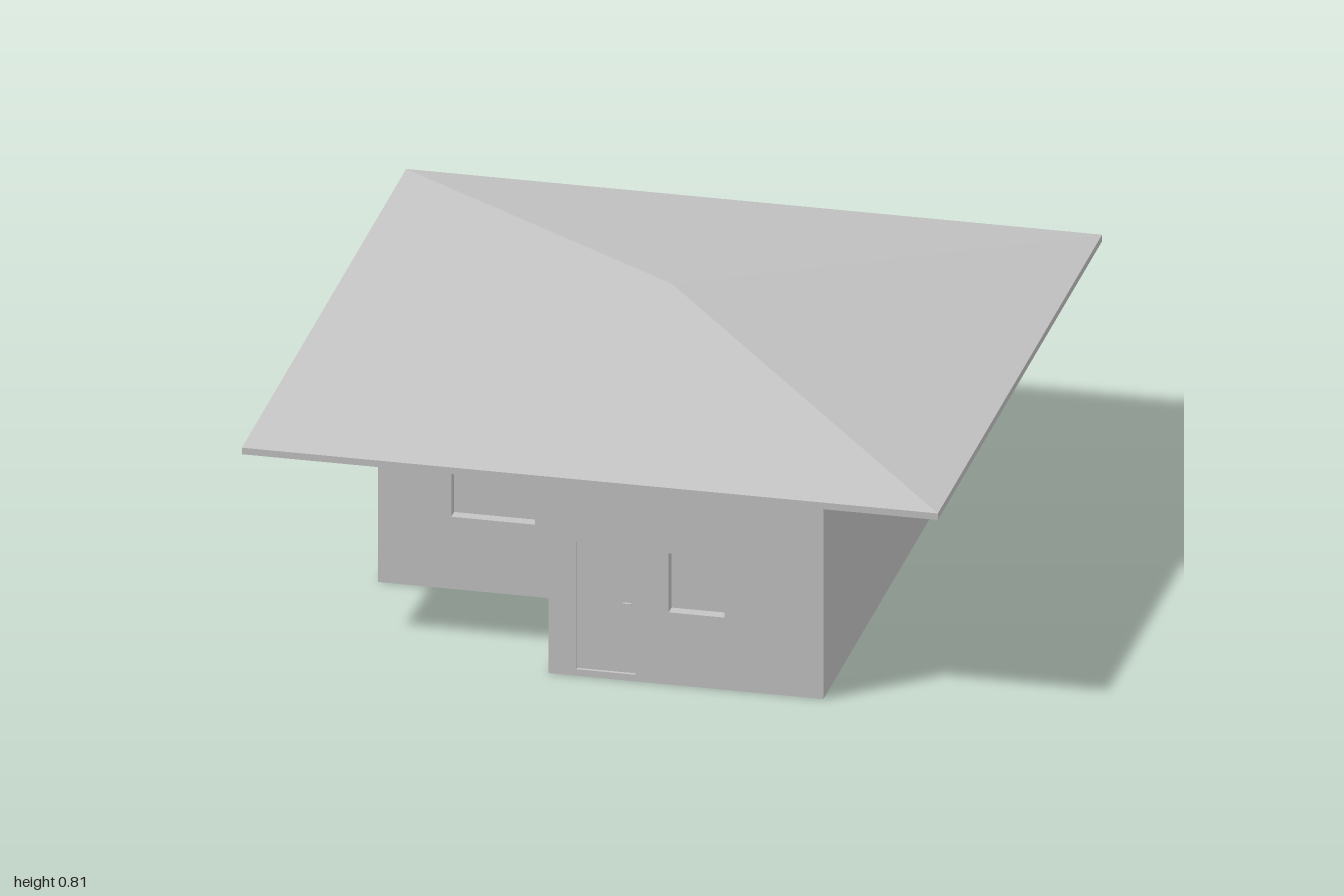
import * as THREE from 'three';

const EAVE = 0.62, RISE = 0.175, SLAB = 0.02, T = 0.035;

// Height of the hollow roof's underside above a point of the plan
const underside = (x, z) => EAVE + RISE * (1 - Math.max(Math.abs(x), Math.abs(z))) + 0.004;

export function createModel() {
  const house = new THREE.Group();
  house.name = 'house';
  const plaster = new THREE.MeshStandardMaterial({ color: 0xc4c4c4 });
  plaster.name = 'plain grey';

  const add = (parent, geometry, name) => {
    const mesh = new THREE.Mesh(geometry, plaster);
    mesh.name = name;
    parent.add(mesh);
    return mesh;
  };

  // Openings are [name, u0, u1, y0, y1, recess], with u measured along the wall
  const openings = {
    0: [['door', 0.08, 0.25, 0.02, 0.41, 0.01], ['window', 0.345, 0.505, 0.22, 0.4, T]],
    4: [['window', 0.15, 0.305, 0.22, 0.4, T]],
    5: [['window', 0.59, 0.745, 0.22, 0.4, T]],
    6: [['window', 0.21, 0.45, 0.22, 0.4, T]],
  };

  // Plan corners (x, z), each wall running left to right as seen from outside
  const plan = [
    [-0.14, 0.91], [0.65, 0.91], [0.65, -0.91], [-0.04, -0.91],
    [-0.04, -0.61], [-0.75, -0.61], [-0.75, 0.4], [-0.14, 0.4],
  ];

  plan.forEach(([ax, az], i) => {
    const [bx, bz] = plan[(i + 1) % plan.length];
    const length = Math.hypot(bx - ax, bz - az);
    const wall = new THREE.Group();
    wall.name = 'wall' + (i + 1);
    wall.position.set(ax, 0, az);
    wall.rotation.y = Math.atan2(az - bz, bx - ax);
    house.add(wall);

    // Outline whose top follows the roof
    const shape = new THREE.Shape();
    shape.moveTo(0, 0);
    shape.lineTo(length, 0);
    const steps = 24;
    for (let k = steps; k >= 0; k--) {
      const t = k / steps;
      shape.lineTo(length * t, underside(ax + (bx - ax) * t, az + (bz - az) * t));
    }

    for (const [name, u0, u1, y0, y1, recess] of openings[i] || []) {
      const hole = new THREE.Path();
      hole.moveTo(u0, y0);
      hole.lineTo(u0, y1);
      hole.lineTo(u1, y1);
      hole.lineTo(u1, y0);
      hole.closePath();
      shape.holes.push(hole);
      // Pane or door leaf set back in the opening
      const leaf = add(wall, new THREE.BoxGeometry(u1 - u0, y1 - y0, 0.008), name);
      leaf.position.set((u0 + u1) / 2, (y0 + y1) / 2, -recess - 0.004);
      if (name === 'door') {
        const handle = add(wall, new THREE.BoxGeometry(0.025, 0.006, 0.008), 'doorHandle');
        handle.position.set(u1 - 0.025, 0.23, -recess + 0.004);
      }
    }

    const slab = new THREE.ExtrudeGeometry(shape, { depth: T, bevelEnabled: false });
    slab.translate(0, 0, -T);
    add(wall, slab, 'wallPanel');
  });

  // Floor, facing down
  const floor = new THREE.ShapeGeometry(new THREE.Shape(plan.map(([x, z]) => new THREE.Vector2(x, z))));
  floor.rotateX(Math.PI / 2);
  add(house, floor, 'floor');

  // Hollow four-sided roof: underside, fascia, top
  const r = Math.SQRT2;
  const profile = [[0, EAVE + RISE], [r, EAVE], [r, EAVE + SLAB], [0, EAVE + SLAB + RISE]]
    .map(([x, y]) => new THREE.Vector2(x, y));
  const roof = new THREE.LatheGeometry(profile, 4, Math.PI / 4).toNonIndexed();
  roof.computeVertexNormals();
  add(house, roof, 'roof');

  return house;
}
